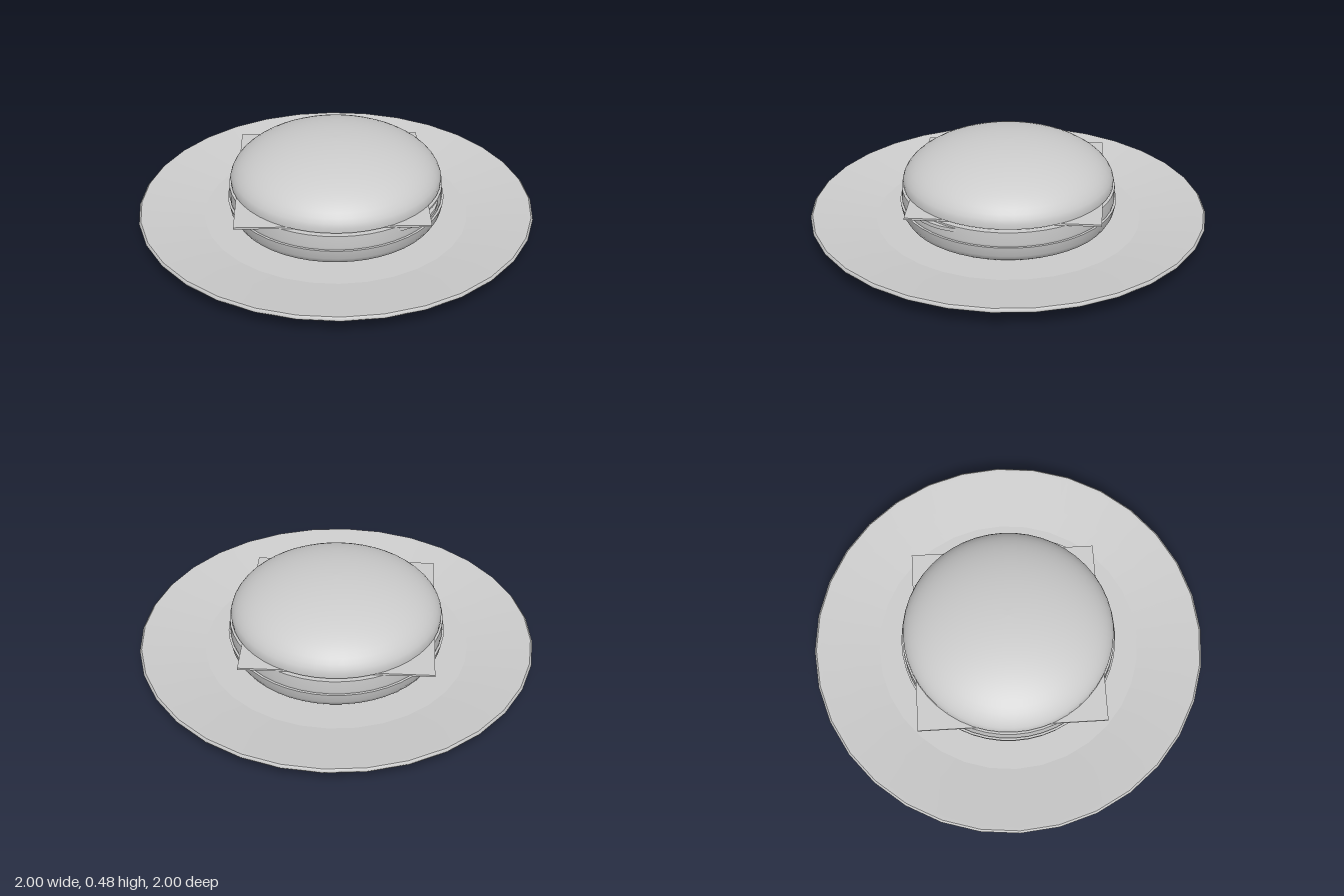
import * as THREE from 'three';

const grey = () => new THREE.MeshStandardMaterial({ color: 0xcccccc });

// Lathe a profile running from the bottom centre outwards and up to the top centre.
// A third value of 1 doubles the point, which keeps that edge sharp.
function turned(name, profile, segments) {
  const points = [];
  for (const [r, y, sharp] of profile) {
    points.push(new THREE.Vector2(r, y));
    if (sharp) points.push(new THREE.Vector2(r, y));
  }
  const mesh = new THREE.Mesh(new THREE.LatheGeometry(points, segments), grey());
  mesh.name = name;
  return mesh;
}

export function createModel() {
  const model = new THREE.Group();
  model.name = 'burgerOnPlate';

  // Plate: flat foot, flared underside, thin rim and a sunken floor
  model.add(turned('plate', [
    [0, 0], [0.655, 0, 1], [0.655, 0.018, 1], [0.8, 0.046], [0.97, 0.086],
    [0.995, 0.095], [1, 0.105], [0.99, 0.115, 1],
    [0.97, 0.113], [0.8, 0.086], [0.67, 0.066, 1], [0, 0.066],
  ], 32));

  // Bottom bun: rounded below, widest at its cut top
  model.add(turned('bottomBun', [
    [0, 0.066], [0.49, 0.066], [0.52, 0.085], [0.538, 0.115],
    [0.548, 0.165, 1], [0, 0.165],
  ], 48));

  // Patty
  model.add(turned('patty', [
    [0, 0.16], [0.535, 0.16, 1], [0.54, 0.18], [0.538, 0.241, 1], [0, 0.241],
  ], 48));

  // Slice poking out under one corner of the cheese
  const slice = new THREE.Mesh(new THREE.CylinderGeometry(0.3, 0.3, 0.018, 32), grey());
  slice.name = 'slice';
  slice.position.set(0.2, 0.223, 0.17);
  model.add(slice);

  // Square cheese, set a little off centre
  const cheese = new THREE.Mesh(new THREE.BoxGeometry(0.94, 0.01, 0.94), grey());
  cheese.name = 'cheese';
  cheese.position.set(-0.025, 0.246, -0.005);
  model.add(cheese);

  // Top bun: half an ellipsoid with a flat base
  const dome = [[0, 0.254], [0.53, 0.254, 1]];
  for (let i = 1; i <= 16; i++) {
    const a = (i / 16) * Math.PI / 2;
    dome.push([i === 16 ? 0 : 0.533 * Math.cos(a), 0.257 + 0.22 * Math.sin(a)]);
  }
  model.add(turned('topBun', dome, 48));

  return model;
}
